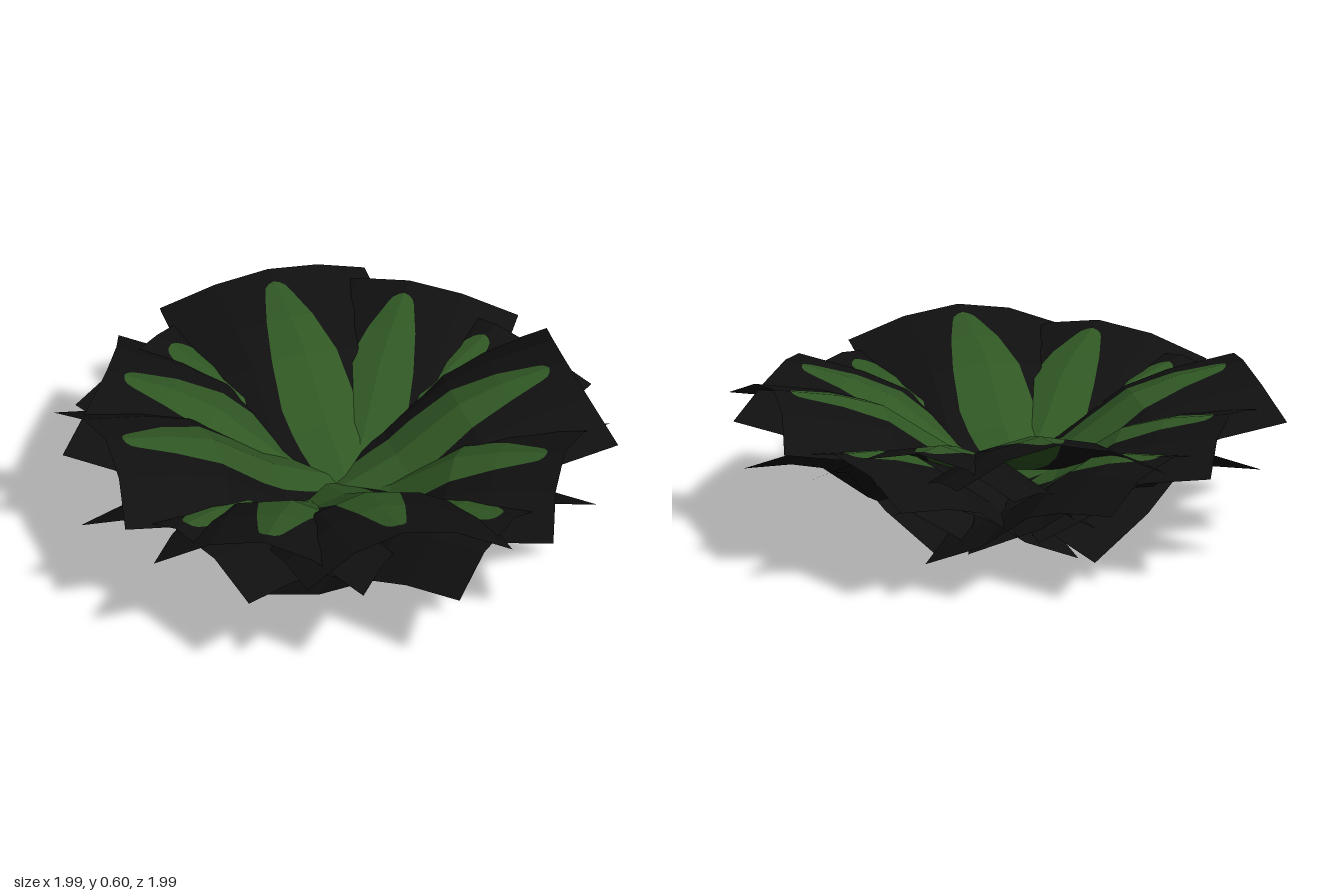
import * as THREE from 'three';

const HALF_WIDTH = 0.38; // half width of a leaf card
const OFFSET = 0.04;     // sideways shift of each card from the centre
const DROP = 0.12;       // how far the card edges hang below the midrib
const SHIFT = 0.06;      // how far the edges reach out past the midrib

// side profile of a card: distance from centre, height of its edge
const PROFILE = [[0, 0], [0.27, 0.12], [0.5, 0.28], [0.66, 0.33], [0.9, 0.37]];
// green blade: distance along the card, half width
const BLADE = [[0, 0.07], [0.2, 0.115], [0.35, 0.135], [0.5, 0.12], [0.66, 0.085],
  [0.79, 0.046], [0.815, 0.036], [0.83, 0.02], [0.837, 0], [0.9, 0]];

function lerpTable(table, s) {
  for (let i = 1; i < table.length; i++) {
    const [a, va] = table[i - 1], [b, vb] = table[i];
    if (s <= b) return va + (vb - va) * (s - a) / (b - a);
  }
  return table[table.length - 1][1];
}

// arched cross-section in four flat strips: 0 at the midrib, 1 at the edge
const arch = u => lerpTable([[0, 0], [0.5, 0.29], [1, 1]], Math.abs(u));

function surfacePoint(u, s) {
  const a = arch(u);
  return [OFFSET + HALF_WIDTH * u, lerpTable(PROFILE, s) + DROP * (1 - a), -(s - SHIFT * (1 - a))];
}

// one card pointing to -z; group 0 is the dark card, group 1 the green blade
function leafGeometry() {
  const rows = [...new Set([...PROFILE, ...BLADE].map(p => p[0]))].sort((a, b) => a - b);
  const columns = s => {
    const g = lerpTable(BLADE, s) / HALF_WIDTH;
    return [-1, -0.5, -g, 0, g, 0.5, 1];
  };
  const dark = [], green = [];
  for (let r = 1; r < rows.length; r++) {
    const s0 = rows[r - 1], s1 = rows[r];
    const c0 = columns(s0), c1 = columns(s1);
    for (let c = 0; c < 6; c++) {
      const out = c === 2 || c === 3 ? green : dark;
      const p = surfacePoint(c0[c], s0), q = surfacePoint(c0[c + 1], s0);
      const v = surfacePoint(c1[c + 1], s1), w = surfacePoint(c1[c], s1);
      if (c0[c + 1] > c0[c]) out.push(...p, ...q, ...v);
      if (c1[c + 1] > c1[c]) out.push(...p, ...v, ...w);
    }
  }
  const geometry = new THREE.BufferGeometry();
  geometry.setAttribute('position', new THREE.Float32BufferAttribute([...dark, ...green], 3));
  geometry.addGroup(0, dark.length / 3, 0);
  geometry.addGroup(dark.length / 3, green.length / 3, 1);
  geometry.computeVertexNormals();
  return geometry;
}

export function createModel() {
  const model = new THREE.Group();
  model.name = 'plant';
  const cardBlack = new THREE.MeshStandardMaterial({ color: 0x101010, side: THREE.DoubleSide });
  cardBlack.name = 'card black';
  const leafGreen = new THREE.MeshStandardMaterial({ color: 0x305724, side: THREE.DoubleSide });
  leafGreen.name = 'leaf green';

  // three tiers of leaves, each repeated every quarter turn
  const tiers = [
    { name: 'lowerLeaf', angle: 0, lift: 0 },
    { name: 'middleLeaf', angle: 65.8, lift: 0.065 },
    { name: 'upperLeaf', angle: 31.6, lift: 0.11 },
  ];
  const geometry = leafGeometry();
  for (const { name, angle, lift } of tiers) {
    for (let i = 0; i < 4; i++) {
      const leaf = new THREE.Mesh(geometry, [cardBlack, leafGreen]);
      leaf.name = name;
      leaf.position.y = lift;
      leaf.rotation.y = -THREE.MathUtils.degToRad(angle + 90 * i);
      model.add(leaf);
    }
  }
  return model;
}
